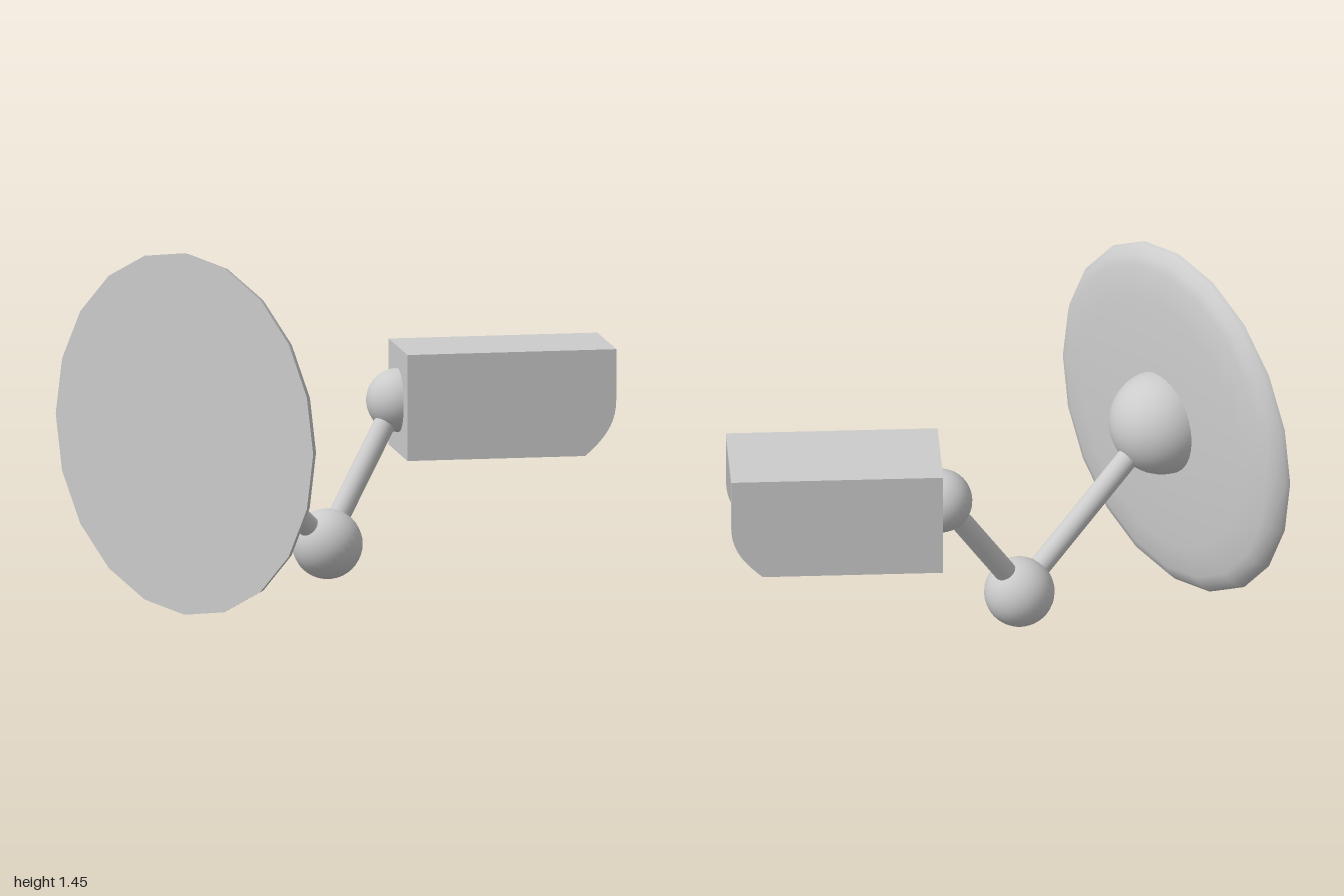
import * as THREE from 'three';

const grey = new THREE.MeshStandardMaterial({ color: 0xcccccc });
const black = new THREE.MeshStandardMaterial({ color: 0x060606 });

function add(parent, name, geometry, material = grey) {
  const mesh = new THREE.Mesh(geometry, material);
  mesh.name = name;
  parent.add(mesh);
  return mesh;
}

function ball(parent, name, center, radius) {
  add(parent, name, new THREE.SphereGeometry(radius, 32, 20)).position.copy(center);
}

// Round rod between two points
function rod(parent, name, a, b, radius) {
  const dir = b.clone().sub(a);
  const mesh = add(parent, name, new THREE.CylinderGeometry(radius, radius, dir.length(), 20));
  mesh.position.copy(a).add(b).multiplyScalar(0.5);
  mesh.quaternion.setFromUnitVectors(new THREE.Vector3(0, 1, 0), dir.normalize());
}

// Camera housing: rear at z = 0, lens end towards -z, centred on x and y
function createHousing() {
  const housing = new THREE.Group();
  housing.name = 'cameraHousing';
  const L = 0.84, W = 0.422, H = 0.425, T = 0.022, recess = 0.6, cut = 0.125;
  const inner = W - 2 * T;

  // Side cheeks with the lower front corner curved back
  const side = new THREE.Shape();
  side.moveTo(0, -H / 2);
  side.lineTo(L - cut, -H / 2);
  side.bezierCurveTo(L - 0.05, -H / 2 + 0.065, L, -0.09, L, 0.01);
  side.lineTo(L, H / 2);
  side.lineTo(0, H / 2);
  side.closePath();
  for (const [name, x] of [['leftCheek', W / 2 - T], ['rightCheek', -W / 2]]) {
    const geo = new THREE.ExtrudeGeometry(side, { depth: T, bevelEnabled: false, curveSegments: 10 });
    geo.rotateY(Math.PI / 2);
    add(housing, name, geo).position.x = x;
  }

  // Solid rear body, then the roof and floor of the hood
  add(housing, 'body', new THREE.BoxGeometry(inner, H, recess)).position.z = -recess / 2;
  const roofLength = L - recess, floorLength = L - cut - recess, floorT = 0.014;
  add(housing, 'hoodRoof', new THREE.BoxGeometry(inner, T, roofLength))
    .position.set(0, H / 2 - T / 2, -recess - roofLength / 2);
  add(housing, 'hoodFloor', new THREE.BoxGeometry(inner, floorT, floorLength))
    .position.set(0, -H / 2 + floorT / 2, -recess - floorLength / 2);

  // Bulging dark lens
  const lens = add(housing, 'lens', new THREE.SphereGeometry(0.142, 14, 10).rotateX(Math.PI / 2), black);
  lens.scale.z = 0.6;
  lens.position.z = -recess;
  return housing;
}

export function createModel() {
  const model = new THREE.Group();
  model.name = 'securityCamera';
  const wall = new THREE.Vector3(0, 0.73, 0.915);
  const elbow = new THREE.Vector3(0, 0.197, 0.204);
  const head = new THREE.Vector3(0, 0.73, -0.19);

  // Domed wall plate with a flat mounting face
  const plate = new THREE.Group();
  plate.name = 'wallPlate';
  plate.position.set(0, 0.727, 1);
  const profile = [[0.725, 0], [0.72, 0.02], [0.69, 0.05], [0.65, 0.065], [0.52, 0.09], [0.2, 0.097], [0, 0.1]]
    .map(([r, h]) => new THREE.Vector2(r, h));
  add(plate, 'plateDome', new THREE.LatheGeometry(profile, 20).rotateX(-Math.PI / 2));
  add(plate, 'plateFace', new THREE.CircleGeometry(0.725, 20));
  model.add(plate);

  // Half-ball on the plate, facing backwards
  const half = new THREE.SphereGeometry(0.21, 32, 12, 0, Math.PI * 2, 0, Math.PI / 2);
  add(model, 'wallJoint', half.rotateX(-Math.PI / 2)).position.copy(wall);

  // Jointed arm
  ball(model, 'elbowJoint', elbow, 0.14);
  ball(model, 'headJoint', head, 0.127);
  rod(model, 'lowerArm', new THREE.Vector3(0, 0.74, 0.895), elbow, 0.044);
  rod(model, 'upperArm', new THREE.Vector3(0, 0.207, 0.21), new THREE.Vector3(0, 0.73, -0.18), 0.044);

  const housing = createHousing();
  housing.position.copy(head);
  housing.rotation.y = -THREE.MathUtils.degToRad(34.5);
  model.add(housing);
  return model;
}
